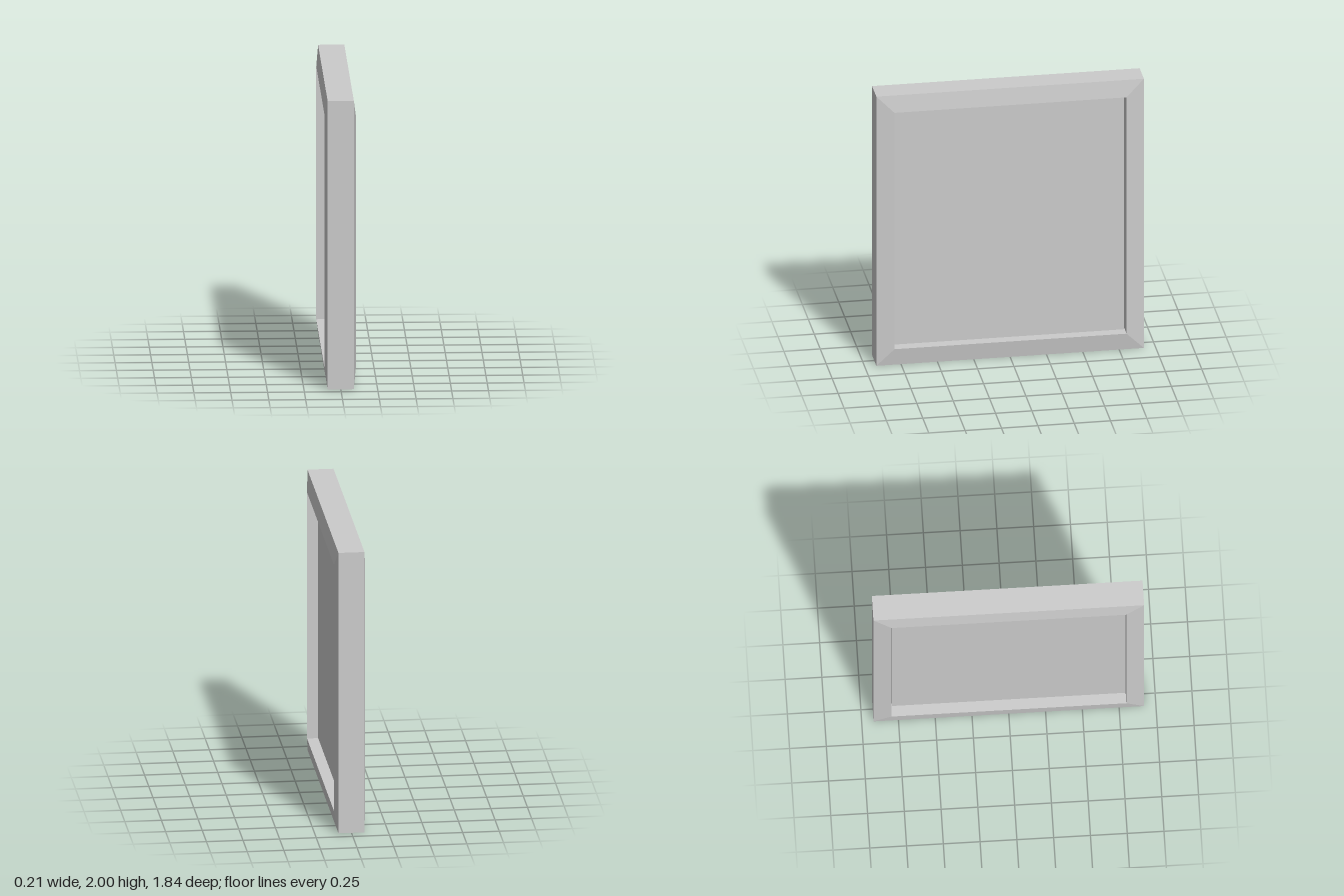
import * as THREE from 'three';

const HALF_Z = 0.92, HALF_Y = 1, RAIL = 0.122;

// Frame section as [inset from the outer edge, x]: thicker towards the opening
const SECTION = [[0, 0.089], [0, -0.089], [RAIL, -0.106], [RAIL, 0.106]];
const CORNERS = [[1, -1], [-1, -1], [-1, 1], [1, 1]];

// One mitred rail between two neighbouring corners
function railGeometry(k) {
  const ring = ([sz, sy]) => SECTION.map(([inset, x]) =>
    [x, sy * (HALF_Y - inset), sz * (HALF_Z - inset)]);
  const start = ring(CORNERS[k]), end = ring(CORNERS[(k + 1) % 4]);
  const positions = [];
  for (let i = 0; i < 4; i++) {
    const j = (i + 1) % 4;
    for (const p of [start[i], start[j], end[j], start[i], end[j], end[i]]) positions.push(...p);
  }
  const geometry = new THREE.BufferGeometry();
  geometry.setAttribute('position', new THREE.Float32BufferAttribute(positions, 3));
  geometry.computeVertexNormals();
  return geometry;
}

export function createModel() {
  const model = new THREE.Group();
  model.name = 'framedPanel';
  const material = new THREE.MeshStandardMaterial({ color: 0xcccccc, flatShading: true });

  // Frame of four mitred rails
  const frame = new THREE.Group();
  frame.name = 'frame';
  ['bottomRail', 'backRail', 'topRail', 'frontRail'].forEach((name, k) => {
    const rail = new THREE.Mesh(railGeometry(k), material);
    rail.name = name;
    frame.add(rail);
  });
  frame.position.y = HALF_Y;
  model.add(frame);

  // Recessed panel, with a hairline gap at its back edge
  const gap = 0.007;
  const panel = new THREE.Mesh(
    new THREE.BoxGeometry(0.06, 2 * (HALF_Y - RAIL), 2 * (HALF_Z - RAIL) - gap), material);
  panel.name = 'panel';
  panel.position.set(0, HALF_Y, gap / 2);
  model.add(panel);

  return model;
}
